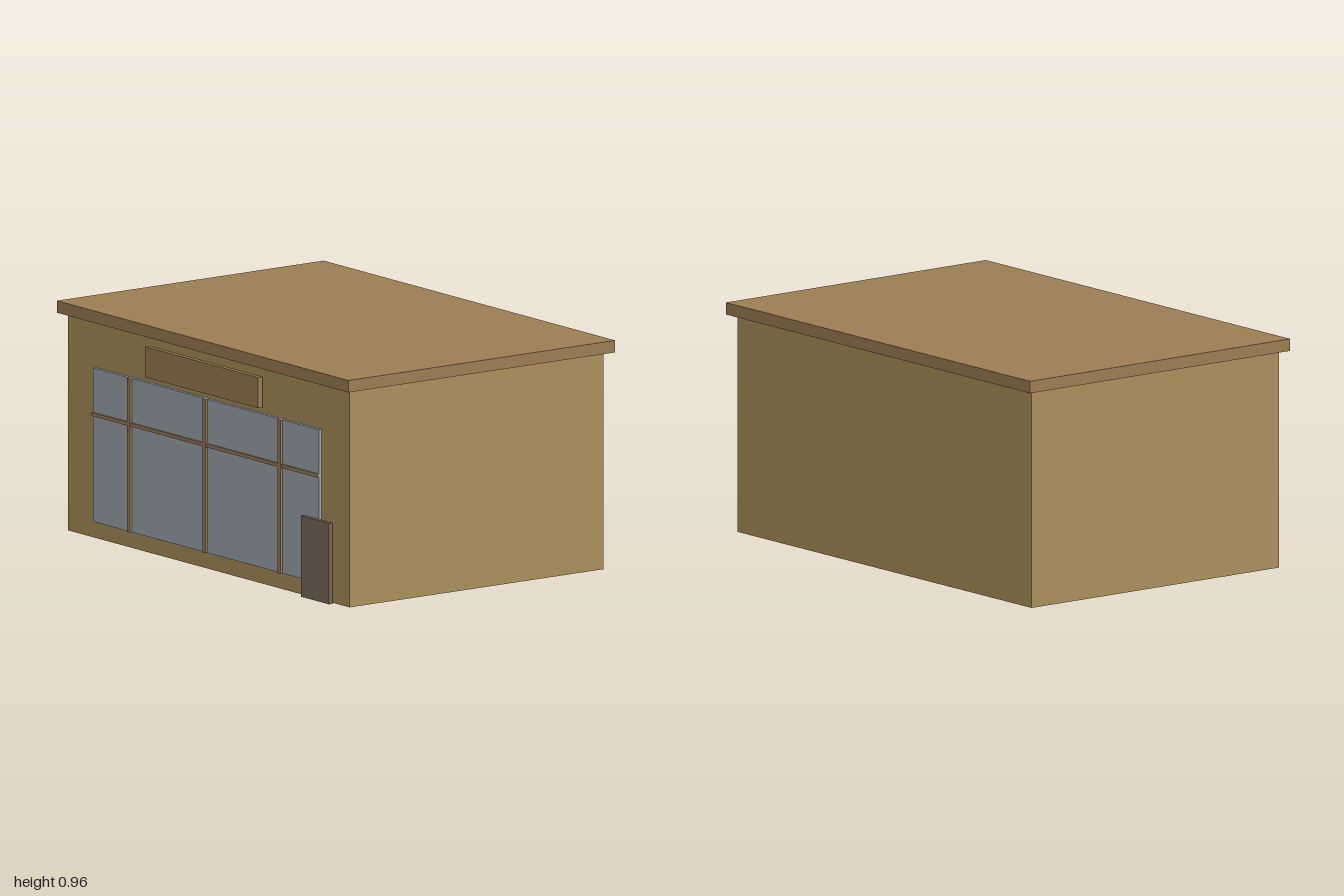
import * as THREE from 'three';

const mat = (color) => new THREE.MeshStandardMaterial({ color });

export function createModel() {
  const group = new THREE.Group();
  const wall = mat(0xaa8f5a), trim = mat(0x9b7d53), glass = mat(0x9ca6ae), wood = mat(0x7d6b5b);

  // Box given by its lower and upper limits on each axis
  const box = (name, material, [x0, x1], [y0, y1], [z0, z1]) => {
    const mesh = new THREE.Mesh(new THREE.BoxGeometry(x1 - x0, y1 - y0, z1 - z0), material);
    mesh.position.set((x0 + x1) / 2, (y0 + y1) / 2, (z0 + z1) / 2);
    mesh.name = name;
    group.add(mesh);
  };

  // Building shell and overhanging flat roof
  box('walls', wall, [-0.966, 0.966], [0, 0.906], [-0.646, 0.645]);
  box('roof', trim, [-1, 1], [0.906, 0.956], [-0.68, 0.676]);

  // Shop window with its glazing bars
  box('windowPane', glass, [-0.774, 0.774], [0.07, 0.711], [0.645, 0.659]);
  for (const x of [-0.516, 0, 0.516]) {
    box('mullion', trim, [x - 0.01, x + 0.01], [0.07, 0.711], [0.659, 0.67]);
  }
  box('transom', trim, [-0.774, 0.774], [0.512, 0.527], [0.659, 0.667]);

  // Blank sign board above the window, and the low door at the corner
  box('signBoard', trim, [-0.388, 0.388], [0.739, 0.867], [0.659, 0.681]);
  box('door', wood, [0.674, 0.868], [0, 0.338], [0.659, 0.676]);

  return group;
}
